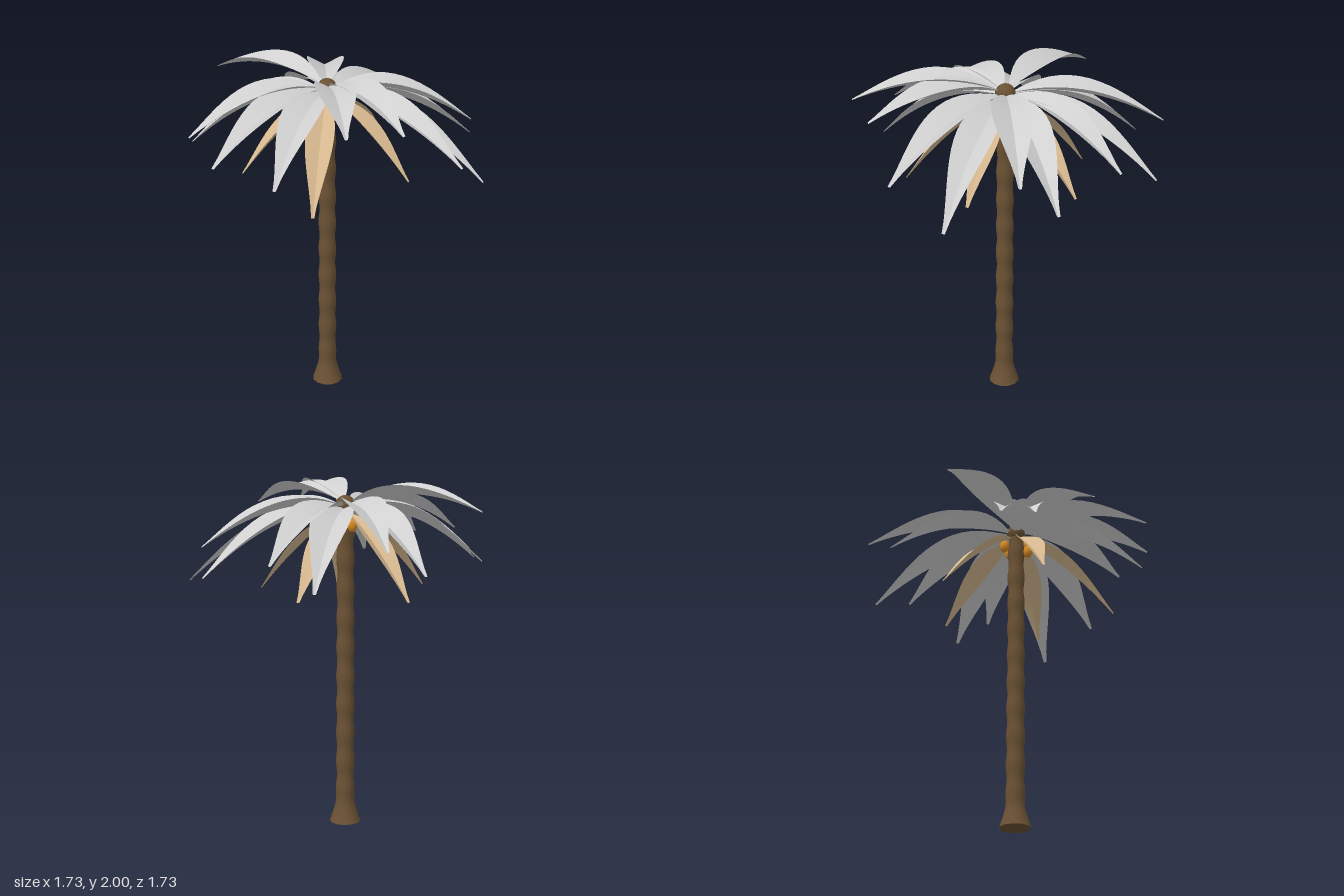
import * as THREE from 'three';
import { toCreasedNormals } from 'three/addons/utils/BufferGeometryUtils.js';

const CX = -0.06, CZ = -0.03; // trunk axis

// Frond: two smooth strips rising from a sunken midrib, arching from hub to tip
function frondGeometry(start, control, tip, halfWidth, steps = 16) {
  const curve = new THREE.QuadraticBezierCurve3(start, control, tip);
  const side = new THREE.Vector3(tip.z - start.z, 0, start.x - tip.x).normalize();
  const positions = [], index = [];
  for (const s of [1, -1]) {
    const base = positions.length / 3;
    for (let i = 0; i <= steps; i++) {
      const t = i / steps;
      const p = curve.getPoint(t);
      const up = new THREE.Vector3().crossVectors(curve.getTangent(t), side).normalize();
      if (up.y < 0) up.negate();
      const w = 0.009 + halfWidth * Math.pow(Math.max(0, Math.sin(Math.PI * Math.pow(t, 0.8))), 1.3);
      const edge = p.clone().addScaledVector(side, s * w).addScaledVector(up, 0.5 * w);
      positions.push(p.x, p.y, p.z, edge.x, edge.y, edge.z);
      if (i < steps) {
        const a = base + i * 2;
        // both strips face upwards
        if (s > 0) index.push(a, a + 2, a + 1, a + 1, a + 2, a + 3);
        else index.push(a, a + 1, a + 2, a + 1, a + 3, a + 2);
      }
    }
  }
  const g = new THREE.BufferGeometry();
  g.setAttribute('position', new THREE.Float32BufferAttribute(positions, 3));
  g.setIndex(index);
  g.computeVertexNormals();
  return g;
}

export function createModel() {
  const bark = new THREE.MeshStandardMaterial({ color: 0x6a5134 });
  bark.name = 'bark';
  const leaf = new THREE.MeshStandardMaterial({ color: 0xd0d0d0, side: THREE.DoubleSide });
  leaf.name = 'leaf';
  const dry = new THREE.MeshStandardMaterial({ color: 0xd6b88f, side: THREE.DoubleSide });
  dry.name = 'dryLeaf';
  const nut = new THREE.MeshStandardMaterial({ color: 0xd98c21 });
  nut.name = 'coconut';

  const model = new THREE.Group();
  model.name = 'palmTree';
  const add = (geometry, material, name, x = 0, y = 0, z = 0) => {
    const mesh = new THREE.Mesh(geometry, material);
    mesh.name = name;
    mesh.position.set(x, y, z);
    model.add(mesh);
    return mesh;
  };

  // Trunk: flared foot and ringed, gently bulging stem
  const profile = [new THREE.Vector2(0, 0)];
  for (let i = 0; i <= 66; i++) {
    const y = 1.87 * i / 66;
    const flare = 0.038 * Math.pow(Math.max(0, 1 - y / 0.19), 2);
    const ring = 0.0035 * Math.cos(2 * Math.PI * (y - 0.2) / 0.17);
    profile.push(new THREE.Vector2(0.053 - 0.003 * y + flare + ring * Math.min(1, y / 0.2), y));
  }
  add(toCreasedNormals(new THREE.LatheGeometry(profile, 12), 0.7), bark, 'trunk', CX, 0, CZ);

  // Crown hub
  add(new THREE.SphereGeometry(0.058, 16, 12), bark, 'crownHub', CX, 1.866, CZ);

  // Living fronds, by tip position
  const tips = [
    [-0.37, 1.49, -0.86], [-0.085, 1.61, -0.835], [0.37, 1.51, -0.8], [0.49, 1.655, -0.645],
    [0.78, 1.42, -0.385], [0.86, 1.61, -0.075], [0.715, 1.835, 0.235], [0.58, 1.86, 0.52],
    [0.22, 1.53, 0.675], [-0.04, 1.64, 0.86], [-0.38, 1.69, 0.72], [-0.62, 1.55, 0.49],
    [-0.735, 1.55, 0.345], [-0.86, 1.855, 0.06], [-0.765, 1.555, -0.41], [-0.68, 1.7, -0.665],
  ];
  const addFrond = (tipPos, startY, controlY, halfWidth, material, name) => {
    const tip = new THREE.Vector3(...tipPos);
    const out = new THREE.Vector3(tip.x - CX, 0, tip.z - CZ).normalize().multiplyScalar(0.04);
    const start = new THREE.Vector3(CX + out.x, startY, CZ + out.z);
    const control = start.clone().lerp(tip, 0.5).setY(controlY);
    add(frondGeometry(start, control, tip, halfWidth), material, name);
  };
  tips.forEach((t, i) => {
    const lift = t[1] - 1.42;
    addFrond(t, 1.845 + 0.1 * lift, 1.82 + 0.44 * lift, 0.1, leaf, `frond${i + 1}`);
  });

  // Dry hanging fronds, a fifth of a turn apart
  [[0.27, 1.32, 0.44], [0.41, 1.38, -0.19], [-0.07, 1.38, -0.545], [-0.55, 1.37, -0.19], [-0.35, 1.39, 0.36]]
    .forEach((t, i) => addFrond(t, 1.82, 1.67, 0.07, dry, `dryFrond${i + 1}`));

  // Coconuts under the crown
  [[0.03, 1.735, 0.065], [0.05, 1.795, 0.035], [0.03, 1.765, -0.07], [-0.067, 1.76, -0.039]]
    .forEach(([x, y, z], i) => {
      const m = add(new THREE.SphereGeometry(0.028, 12, 10), nut, `coconut${i + 1}`, CX + x, y, CZ + z);
      m.scale.y = 1.4;
    });

  return model;
}
